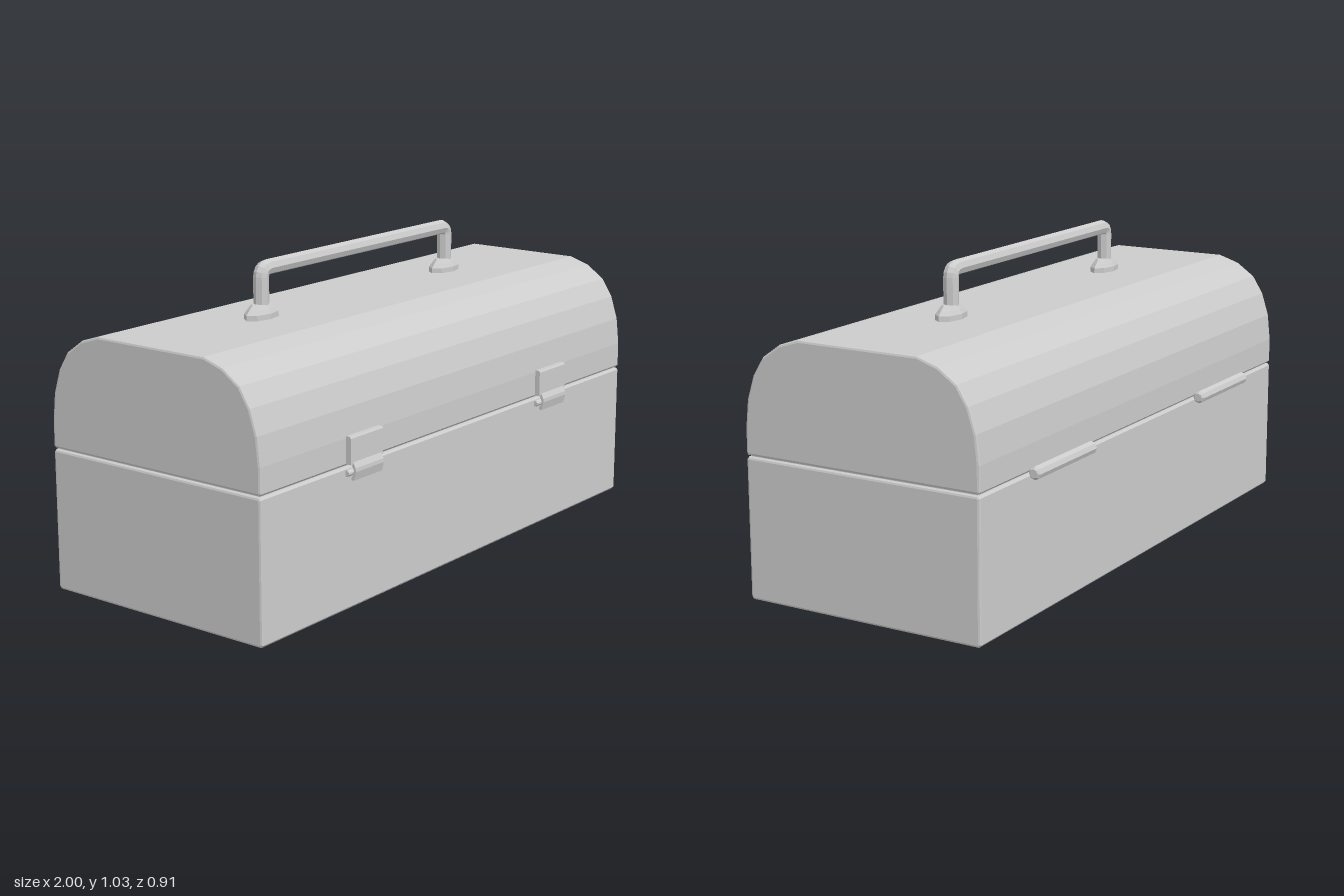
import * as THREE from 'three';

const material = new THREE.MeshStandardMaterial({ color: 0xcccccc, flatShading: true });

function add(parent, name, geometry, x = 0, y = 0, z = 0) {
  const mesh = new THREE.Mesh(geometry, material);
  mesh.name = name;
  mesh.position.set(x, y, z);
  parent.add(mesh);
  return mesh;
}

// Extrudes a [z, y] outline along x, centred, with bevels kept inside the outline.
function extrudeAlongX(outline, width, bevel) {
  const shape = new THREE.Shape(outline.map(([z, y]) => new THREE.Vector2(z, y)));
  const geometry = new THREE.ExtrudeGeometry(shape, {
    depth: width - 2 * bevel,
    bevelEnabled: bevel > 0,
    bevelThickness: bevel,
    bevelSize: bevel,
    bevelOffset: -bevel,
    bevelSegments: 2,
  });
  geometry.translate(0, 0, bevel - width / 2);
  geometry.rotateY(-Math.PI / 2);
  return geometry;
}

export function createModel() {
  const model = new THREE.Group();
  model.name = 'toolbox';
  const midZ = 0.004;

  // Base with slightly chamfered lower and upper edges
  const baseHalf = [[0.411, 0], [0.42, 0.009], [0.42, 0.452], [0.414, 0.459]];
  const mirrored = (half) => [...half, ...half.map(([z, y]) => [-z, y]).reverse()];
  add(model, 'base', extrudeAlongX(mirrored(baseHalf), 2, 0.008), 0, 0, midZ);

  // Domed lid
  const lidHalf = [
    [0.414, 0.463], [0.42, 0.47], [0.42, 0.55], [0.41, 0.64], [0.385, 0.718],
    [0.347, 0.778], [0.284, 0.822], [0.212, 0.845],
  ];
  add(model, 'lid', extrudeAlongX(mirrored(lidHalf), 2, 0.008), 0, 0, midZ);

  // Narrow core seen in the seam between base and lid
  add(model, 'seam', new THREE.BoxGeometry(1.975, 0.02, 0.815), 0, 0.461, midZ);

  // Carrying handle: a bent octagonal rod
  const path = new THREE.CurvePath();
  const v = (x, y) => new THREE.Vector3(x, y, 0);
  const hx = 0.493, top = 1.001, r = 0.03;
  path.add(new THREE.LineCurve3(v(-hx, 0.86), v(-hx, top - r)));
  path.add(new THREE.QuadraticBezierCurve3(v(-hx, top - r), v(-hx, top), v(-hx + r, top)));
  path.add(new THREE.LineCurve3(v(-hx + r, top), v(hx - r, top)));
  path.add(new THREE.QuadraticBezierCurve3(v(hx - r, top), v(hx, top), v(hx, top - r)));
  path.add(new THREE.LineCurve3(v(hx, top - r), v(hx, 0.86)));
  const handle = new THREE.Group();
  handle.name = 'handle';
  handle.position.z = midZ;
  model.add(handle);
  add(handle, 'handleRod', new THREE.TubeGeometry(path, 120, 0.025, 8, false));

  const footProfile = [[0, 0], [0.072, 0], [0.072, 0.018], [0.058, 0.032], [0.042, 0.046], [0, 0.046]]
    .map(([x, y]) => new THREE.Vector2(x, y));

  // Latch outlines: plate on the lid, and flap hooked over the pin below
  const plate = [[0.42, 0.468], [0.442, 0.468], [0.442, 0.55], [0.438, 0.556], [0.42, 0.556]];
  const flap = [
    [0.434, 0.475], [0.443, 0.475], [0.452, 0.458], [0.453, 0.446], [0.446, 0.418],
    [0.437, 0.418], [0.436, 0.426], [0.441, 0.432], [0.446, 0.448], [0.438, 0.464],
  ];
  const pin = [[0.418, 0.43], [0.43, 0.43], [0.437, 0.437], [0.437, 0.443], [0.43, 0.45], [0.418, 0.45]];

  for (const side of [-1, 1]) {
    const label = side > 0 ? 'left' : 'right';

    // Handle foot
    const foot = add(handle, label + 'HandleFoot', new THREE.LatheGeometry(footProfile, 8), side * hx, 0.844, 0);
    foot.scale.z = 0.54;

    // Front latch
    const latch = new THREE.Group();
    latch.name = label + 'Latch';
    latch.position.x = side * 0.522;
    model.add(latch);
    add(latch, 'latchPlate', extrudeAlongX(plate, 0.16, 0));
    add(latch, 'latchFlap', extrudeAlongX(flap, 0.14, 0));
    add(latch, 'latchPin', extrudeAlongX(pin, 0.165, 0));

    // Rear hinge barrel with chamfered ends
    const barrel = [[0, -0.178], [0.014, -0.178], [0.021, -0.17], [0.021, 0.17], [0.014, 0.178], [0, 0.178]]
      .map(([x, y]) => new THREE.Vector2(x, y));
    const hinge = new THREE.LatheGeometry(barrel, 8);
    hinge.rotateZ(Math.PI / 2);
    add(model, label + 'Hinge', hinge, side * 0.548, 0.462, -0.432);
  }

  return model;
}
